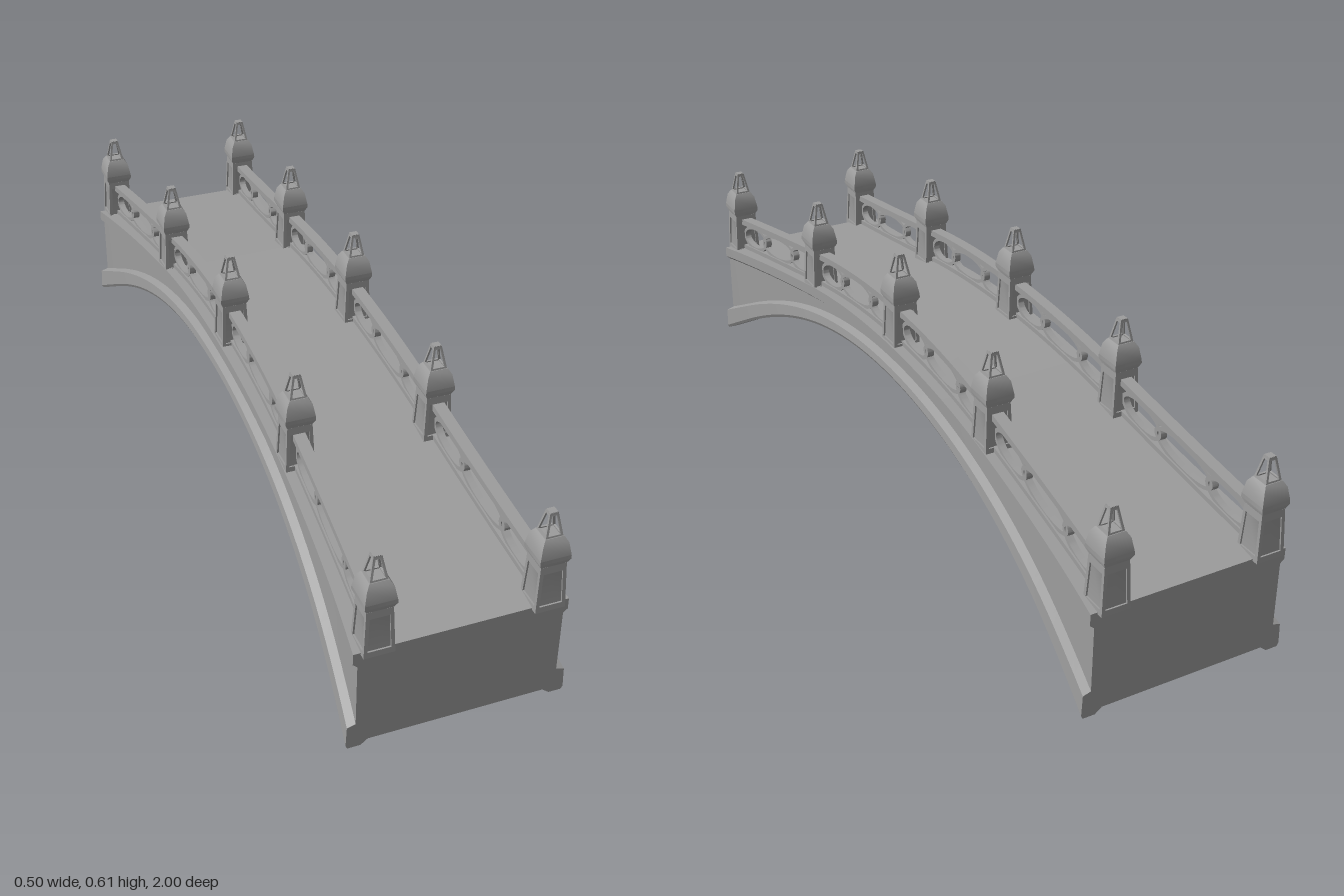
import * as THREE from 'three';
import { mergeGeometries, toCreasedNormals } from 'three/addons/utils/BufferGeometryUtils.js';

const L = 0.985; // half length of the span
const POSTS = [-0.965, -0.46, 0, 0.46, 0.965];

// Curve that is parabolic near the middle and runs straight beyond |z| = a
const arch = (top, k, a) => (z) => {
  const q = Math.abs(z);
  return q < a ? top - k * q * q : top - k * a * a - 2 * k * a * (q - a);
};
const deckY = arch(0.39, 0.19, 0.46);
const soffitY = arch(0.315, 0.33, 0.85);
const halfWidth = (z) => 0.195 + 0.043 * Math.pow(Math.abs(z) / L, 3);
const railX = (z) => 0.157 + 0.031 * (z / 0.97) ** 2;

const material = new THREE.MeshStandardMaterial({ color: 0x9d9d9d });

function addMesh(parent, geometry, name) {
  const mesh = new THREE.Mesh(toCreasedNormals(geometry, 0.5), material);
  mesh.name = name;
  parent.add(mesh);
  return mesh;
}

// Loft a counter-clockwise xy cross-section along z, with closed ends
function sweep(section, z0, z1, steps) {
  const pos = [], index = [];
  let n = 0;
  for (let j = 0; j <= steps; j++) {
    const z = z0 + (z1 - z0) * j / steps;
    const pts = section(z);
    n = pts.length;
    pts.forEach(([x, y]) => pos.push(x, y, z));
  }
  for (let j = 0; j < steps; j++) {
    for (let i = 0; i < n; i++) {
      const a = j * n + i, b = j * n + (i + 1) % n;
      index.push(a, b, b + n, a, b + n, a + n);
    }
  }
  const cap = (z) => THREE.ShapeUtils.triangulateShape(section(z).map(([x, y]) => new THREE.Vector2(x, y)), []);
  cap(z0).forEach(([a, b, c]) => index.push(a, c, b));
  cap(z1).forEach((f) => index.push(...f.map((i) => i + steps * n)));
  const g = new THREE.BufferGeometry();
  g.setAttribute('position', new THREE.Float32BufferAttribute(pos, 3));
  g.setIndex(index);
  return g;
}

// Deck lip, recessed wall, projecting arch band and raised soffit
function bodySection(z) {
  const w = halfWidth(z), d = deckY(z), b = soffitY(z), q = (z / L) ** 2;
  const band = 0.03 + 0.032 * q;
  const rim = 0.6 + 0.4 * q;
  const right = [
    [w - 0.038 * rim, b + 0.013], [w - 0.022 * rim, b], [w + 0.007, b], [w + 0.011, b + 0.008],
    [w + 0.009, b + band - 0.004], [w - 0.01, b + band + 0.002],
    [w - 0.01, d - 0.036], [w, d - 0.027], [w, d],
  ];
  return [...right, ...right.map(([x, y]) => [-x, y]).reverse()];
}

// Rectangular rail following the deck
const railSection = (side, half, lo, hi) => (z) => {
  const x = side * railX(z), y = deckY(z);
  return [[x - half, y + lo], [x + half, y + lo], [x + half, y + hi], [x - half, y + hi]];
};

// Oval ring in the plane of the railing, bent to the deck curve
function ovalRing(side, zc, rz) {
  const mid = 0.0425, ry = 0.037, t = 0.01, depth = 0.016;
  const shape = new THREE.Shape().absellipse(-zc, mid, rz, ry, 0, Math.PI * 2);
  shape.holes.push(new THREE.Path().absellipse(-zc, mid, rz - t, ry - t, 0, Math.PI * 2, true));
  const g = new THREE.ExtrudeGeometry(shape, { depth, bevelEnabled: false, curveSegments: 28 });
  g.translate(0, 0, -depth / 2).rotateY(Math.PI / 2);
  const p = g.attributes.position;
  for (let i = 0; i < p.count; i++) {
    const z = p.getZ(i);
    p.setXY(i, p.getX(i) + side * railX(z), p.getY(i) + deckY(z));
  }
  return g;
}

// Four leaning trapezoid frames forming the sides of a tapered block
function frames(y0, y1, b, t, rim, bottom, top, depth) {
  const h = y1 - y0;
  const at = (y) => b + (t - b) * y / h;
  const shape = new THREE.Shape([[-b, 0], [b, 0], [t, h], [-t, h]].map((p) => new THREE.Vector2(...p)));
  const hb = at(bottom) - rim, ht = at(h - top) - rim;
  shape.holes.push(new THREE.Path(
    [[-hb, bottom], [-ht, h - top], [ht, h - top], [hb, bottom]].map((p) => new THREE.Vector2(...p))));
  return mergeGeometries([0, 1, 2, 3].map((k) =>
    new THREE.ExtrudeGeometry(shape, { depth, bevelEnabled: false })
      .translate(0, 0, -depth)
      .rotateX(-Math.atan((b - t) / h))
      .translate(0, y0, b)
      .rotateY(k * Math.PI / 2)));
}

// Square turned profile given as [half width, height]
function squareLathe(profile) {
  return new THREE.LatheGeometry(profile.map(([r, y]) => new THREE.Vector2(r * Math.SQRT2, y)), 4)
    .rotateY(Math.PI / 4);
}

function createPost() {
  const post = new THREE.Group();
  addMesh(post, squareLathe([
    [0, -0.006], [0.03, -0.006], [0.0255, 0.106], [0.029, 0.108], [0.035, 0.121],
    [0.0345, 0.13], [0.029, 0.16], [0.021, 0.173], [0, 0.173],
  ]), 'postCore');
  addMesh(post, frames(-0.006, 0.108, 0.034, 0.029, 0.008, 0.014, 0.018, 0.005), 'postPanelFrames');
  addMesh(post, frames(0.171, 0.228, 0.02, 0.009, 0.005, 0.006, 0.007, 0.004), 'lanternFinial');
  addMesh(post, new THREE.BoxGeometry(0.017, 0.006, 0.017).translate(0, 0.2245, 0), 'lanternCap');
  return post;
}

export function createModel() {
  const bridge = new THREE.Group();
  bridge.name = 'archedFootbridge';
  addMesh(bridge, sweep(bodySection, -L, L, 48), 'archBody');

  for (const side of [1, -1]) {
    const railing = new THREE.Group();
    railing.name = side > 0 ? 'leftRailing' : 'rightRailing';
    bridge.add(railing);

    addMesh(railing, sweep(railSection(side, 0.014, 0.074, 0.09), -0.965, 0.965, 48), 'topRail');
    addMesh(railing, sweep(railSection(side, 0.012, -0.005, 0.012), -0.965, 0.965, 48), 'bottomRail');

    // Each bay interlaces a long oval with two shorter ones
    const rings = [];
    for (let i = 0; i < POSTS.length - 1; i++) {
      const mid = (POSTS[i] + POSTS[i + 1]) / 2;
      const half = (POSTS[i + 1] - POSTS[i]) / 2 - 0.024;
      const big = half * 0.45, small = half * 0.33;
      rings.push(ovalRing(side, mid, big));
      for (const s of [1, -1]) rings.push(ovalRing(side, mid + s * (half - small), small));
    }
    addMesh(railing, mergeGeometries(rings), 'ovalTracery');

    for (const z of POSTS) {
      const post = createPost();
      post.name = 'railingPost';
      post.position.set(side * railX(z), deckY(z) - 0.002, z);
      railing.add(post);
    }
  }
  return bridge;
}
